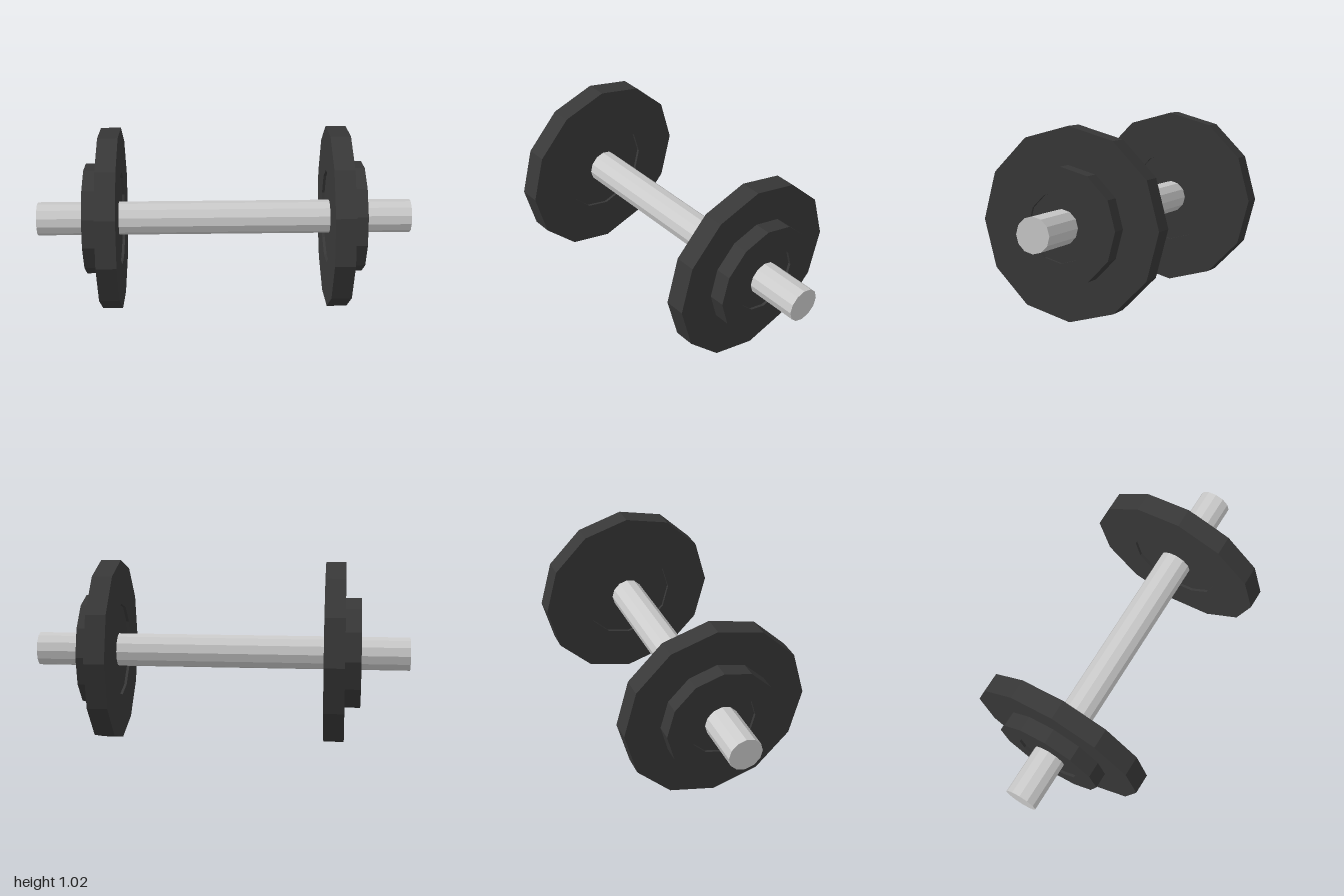
import * as THREE from 'three';

const SIDES = 12;

export function createModel() {
  const model = new THREE.Group();
  model.name = 'dumbbell';

  const steel = new THREE.MeshStandardMaterial({ color: 0xcccccc, flatShading: true });
  const iron = new THREE.MeshStandardMaterial({ color: 0x383838, flatShading: true });

  // Everything is built along x, then turned on the floor
  const dumbbell = new THREE.Group();
  dumbbell.name = 'barAndWeights';
  dumbbell.position.y = 0.512;
  dumbbell.rotation.y = Math.atan2(0.435, 0.96);
  model.add(dumbbell);

  // Handle bar
  const barGeometry = new THREE.CylinderGeometry(0.094, 0.094, 2.108, SIDES).rotateZ(-Math.PI / 2);
  const bar = new THREE.Mesh(barGeometry, steel);
  bar.name = 'bar';
  dumbbell.add(bar);

  // Weight profile (radius, distance along bar): large plate, small outer plate, shallow recesses
  const profile = [
    [0.085, 0.595], [0.263, 0.595], [0.263, 0.58],
    [0.512, 0.58], [0.512, 0.692],
    [0.312, 0.692], [0.312, 0.78],
    [0.187, 0.78], [0.187, 0.765], [0.085, 0.765],
  ].map(([r, t]) => new THREE.Vector2(r, t));
  const weightGeometry = new THREE.LatheGeometry(profile, SIDES).rotateZ(-Math.PI / 2);

  // One weight at each end
  for (const [name, turn] of [['leftWeight', 0], ['rightWeight', Math.PI]]) {
    const weight = new THREE.Mesh(weightGeometry, iron);
    weight.name = name;
    weight.rotation.y = turn;
    dumbbell.add(weight);
  }

  return model;
}
